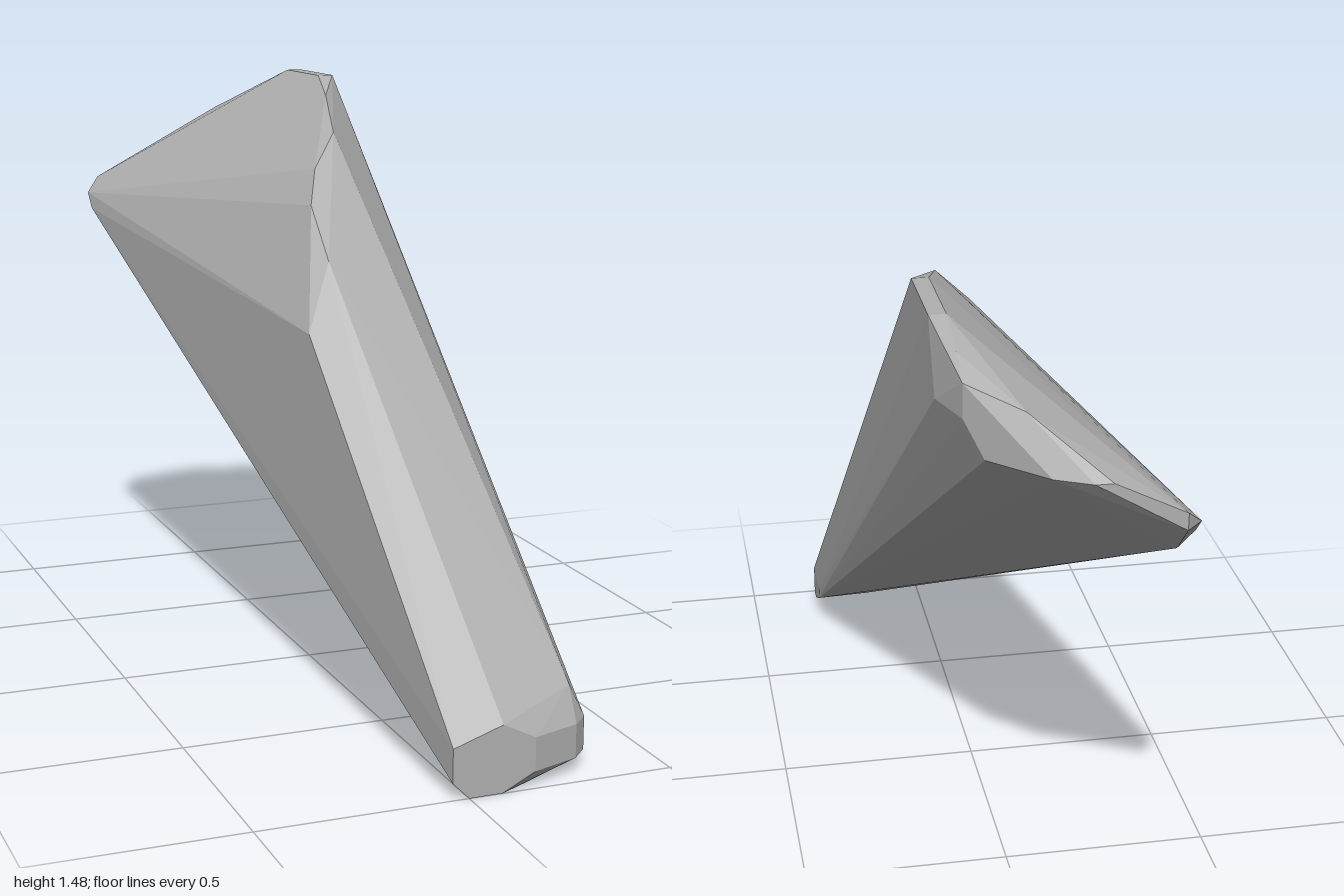
import * as THREE from 'three';
import { ConvexGeometry } from 'three/addons/geometries/ConvexGeometry.js';

// Corners are given on a 0.04 grid: [x, y, z] in grid steps.
const STEP = 0.04;

// Small blunt tip, low at the front
const tip = [
  [-1, 3, 25], [-1, 1, 25], [0, 0, 25], [2, 0, 25], [4, 1, 25], [4, 3, 25], [2, 4, 25],
  [4, 0, 24], [7, 1, 24], [7, 3, 24], [8, 1, 23], [8, 3, 23], [7, 5, 23],
  [8, 1, 22], [8, 2, 20], [8, 3, 19.5],
];

// Curved rim running up the front edge and over the crown
const rim = [
  [-3, 23, 8], [-1, 27, 6], [-1, 30, 3], [0, 32, 1], [2, 34, -1], [3, 36, -5],
  [4, 37, -9], [5, 37, -9], [4, 37, -15], [5, 37, -15], [4, 36, -18], [4, 35, -20],
];

// Bevelled wide end at the back, tapering to the low side corner
const heel = [
  [5, 33, -17], [4, 33, -20], [3, 31, -21], [1, 34, -22], [0, 31, -24],
  [-2, 31, -25], [-3, 31, -25], [-7, 28, -25], [-7, 29, -25],
  [-8, 28, -24], [-8, 27, -23], [-7, 26, -23],
];

export function createModel() {
  const group = new THREE.Group();
  group.name = 'facetedWedge';

  const grey = new THREE.MeshStandardMaterial({ color: 0xb0b0b0 });
  grey.name = 'grey';

  // One convex faceted solid spanning tip, rim and heel
  const corners = [...tip, ...rim, ...heel].map((p) => new THREE.Vector3(...p).multiplyScalar(STEP));
  const body = new THREE.Mesh(new ConvexGeometry(corners), grey);
  body.name = 'body';
  group.add(body);
  return group;
}
